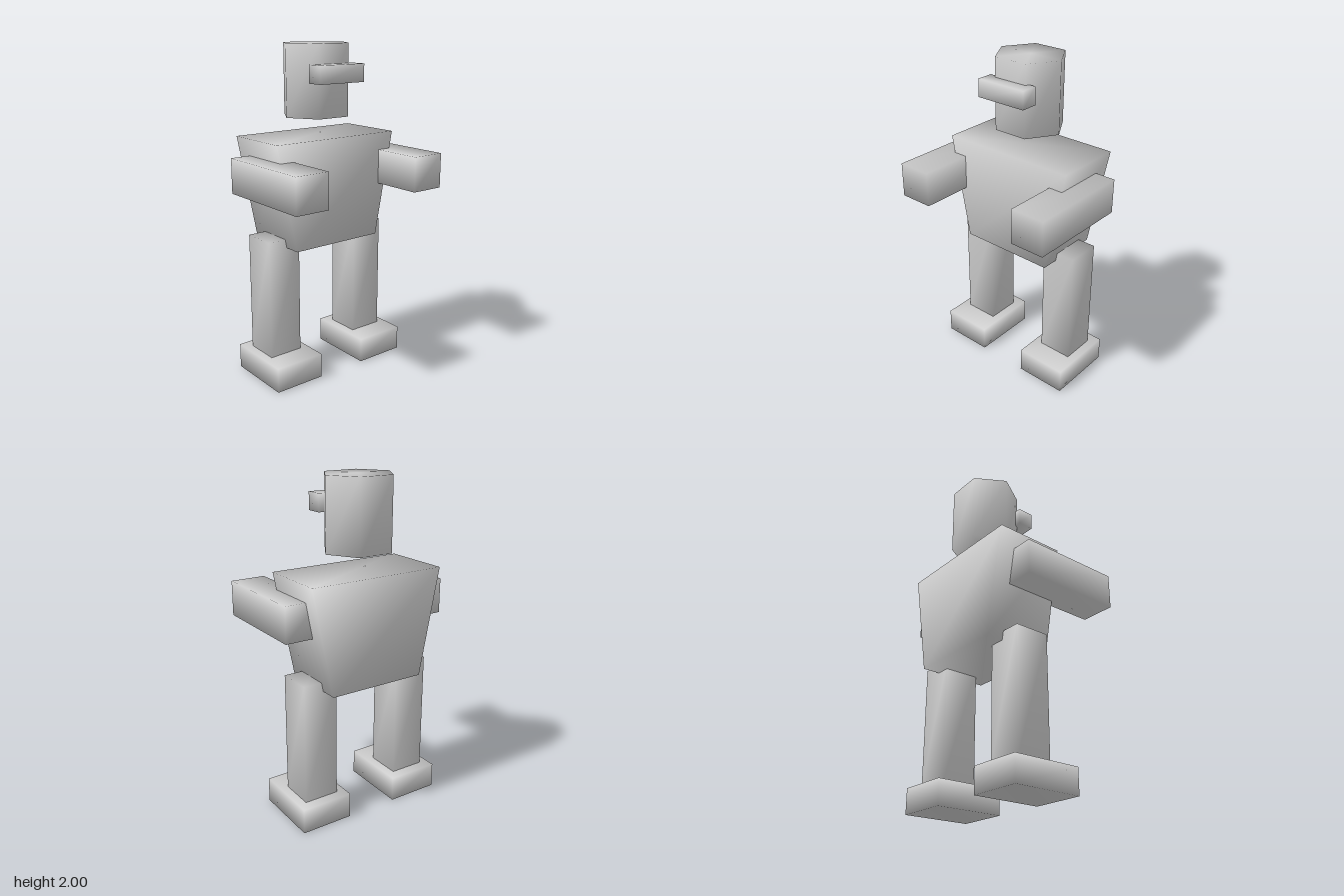
import * as THREE from 'three';
import { mergeVertices } from 'three/addons/utils/BufferGeometryUtils.js';

const material = new THREE.MeshStandardMaterial({ color: 0xcccccc });

// Weld corners so shading runs smoothly over the low-poly edges
function weld(geometry) {
  geometry.deleteAttribute('normal');
  geometry.deleteAttribute('uv');
  const welded = mergeVertices(geometry, 1e-4);
  welded.computeVertexNormals();
  return welded;
}

function part(name, geometry) {
  const mesh = new THREE.Mesh(weld(geometry), material);
  mesh.name = name;
  return mesh;
}

// Box given by its extents on each axis
function block([x0, x1], [y0, y1], [z0, z1]) {
  return new THREE.BoxGeometry(x1 - x0, y1 - y0, z1 - z0)
    .translate((x0 + x1) / 2, (y0 + y1) / 2, (z0 + z1) / 2);
}

export function createModel() {
  const robot = new THREE.Group();
  robot.name = 'robot';

  // Head: six-sided prism with corners pointing sideways, floating above the torso
  const head = new THREE.CylinderGeometry(0.213, 0.213, 0.424, 6)
    .rotateY(Math.PI / 2)
    .scale(1, 1, 0.95)
    .translate(0, 1.788, -0.161);
  robot.add(part('head', head));

  // Visor bar across the face
  robot.add(part('visor', block([-0.16, 0.16], [1.78, 1.885], [-0.01, 0.093])));

  // Torso: block narrowed towards the hips
  const torso = block([-0.427, 0.427], [0.827, 1.465], [-0.373, 0.053]);
  const p = torso.attributes.position;
  for (let i = 0; i < p.count; i++) {
    if (p.getY(i) < 1) p.setX(i, Math.sign(p.getX(i)) * 0.302);
  }
  robot.add(part('torso', torso));

  // Limbs, mirrored left and right
  for (const [side, s] of [['left', 1], ['right', -1]]) {
    const span = (a, b) => (s > 0 ? [a, b] : [-b, -a]);
    robot.add(
      part(side + 'Arm', block(span(0.319, 0.532), [1.15, 1.36], [-0.267, 0.372])),
      part(side + 'Leg', block(span(0.213, 0.427), [0.152, 0.88], [-0.267, -0.053])),
      part(side + 'Foot', block(span(0.16, 0.48), [0, 0.152], [-0.332, 0.093])),
    );
  }

  return robot;
}
